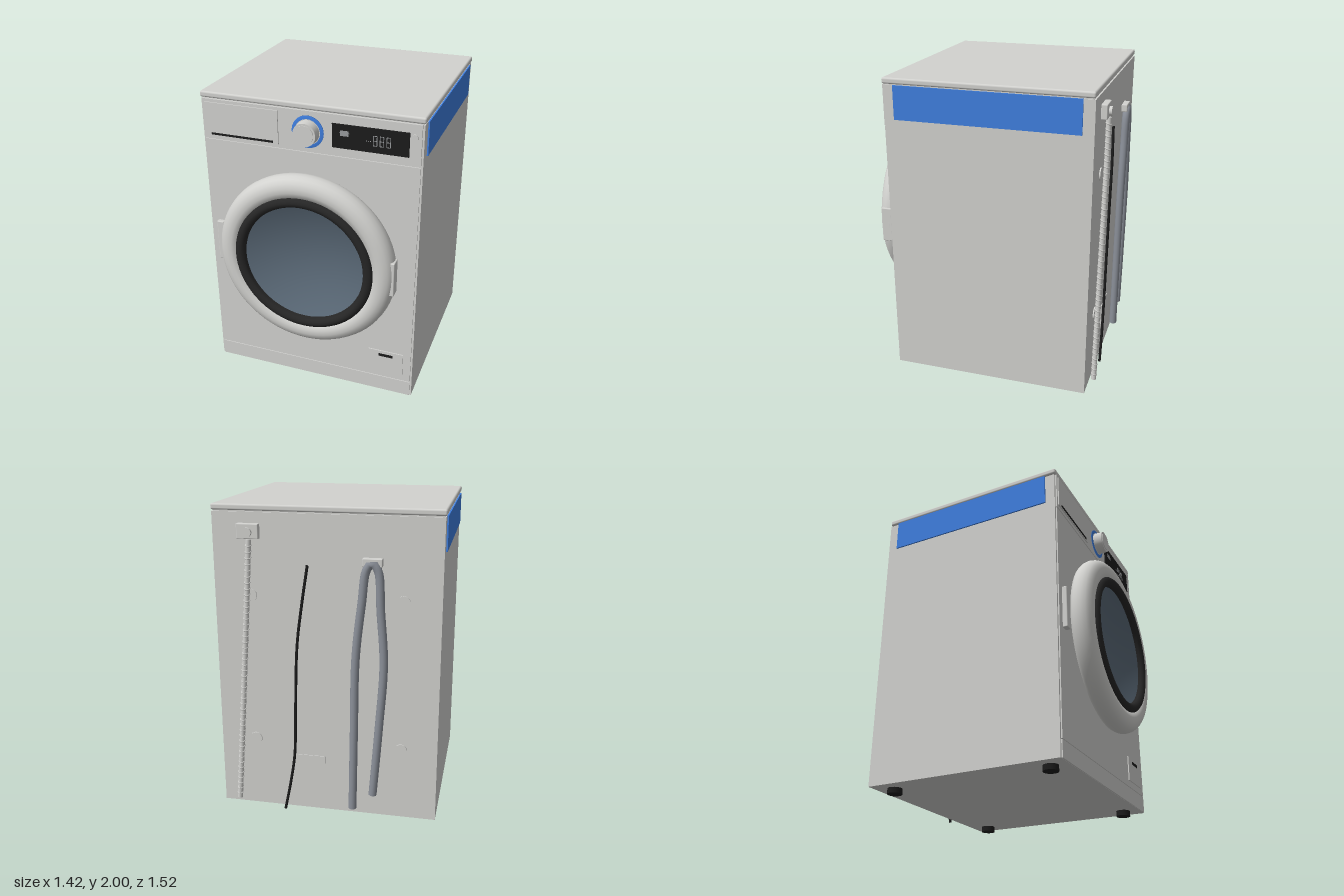
import * as THREE from 'three';
import { RoundedBoxGeometry } from 'three/addons/geometries/RoundedBoxGeometry.js';

const mat = (name, color, side = THREE.FrontSide) => {
  const m = new THREE.MeshStandardMaterial({ color, side });
  m.name = name;
  return m;
};

export function createModel() {
  const M = {
    body: mat('enamel', 0xd2d2cf),
    blue: mat('blue', 0x3f7fe0),
    black: mat('black', 0x1c1c1c),
    rubber: mat('rubber', 0x262626),
    glass: mat('glass', 0x5b6a78),
    hose: mat('hoseGrey', 0x8b9099),
    glyph: mat('displayGrey', 0x9a9c9e),
  };
  const root = new THREE.Group();
  root.name = 'washingMachine';

  const add = (name, geo, m, x = 0, y = 0, z = 0, parent = root) => {
    const mesh = new THREE.Mesh(geo, m);
    mesh.name = name;
    mesh.position.set(x, y, z);
    parent.add(mesh);
    return mesh;
  };
  // box given by its limits on each axis
  const box = (name, m, x0, x1, y0, y1, z0, z1, r = 0) => {
    const s = [x1 - x0, y1 - y0, z1 - z0];
    const g = r ? new RoundedBoxGeometry(...s, 3, r) : new THREE.BoxGeometry(...s);
    return add(name, g, m, (x0 + x1) / 2, (y0 + y1) / 2, (z0 + z1) / 2);
  };
  // disc or drum whose axis is z
  const drum = (name, m, r, x, y, z0, z1, r2 = r) =>
    add(name, new THREE.CylinderGeometry(r2, r, z1 - z0, 40).rotateX(Math.PI / 2), m, x, y, (z0 + z1) / 2);
  // profile of [radius, z] turned about the z axis
  const turned = (name, m, pts, x, y) =>
    add(name, new THREE.LatheGeometry(pts.map(p => new THREE.Vector2(...p)), 72).rotateX(Math.PI / 2), m, x, y, 0);
  const tube = (name, m, pts, r, n = 48) => {
    const path = new THREE.CatmullRomCurve3(pts.map(p => new THREE.Vector3(...p)), false, 'centripetal');
    add(name, new THREE.TubeGeometry(path, n, r, 12), m);
    // end caps
    for (const t of [0, 1]) {
      const cap = add(name + 'End', new THREE.CircleGeometry(r, 12), m);
      const p = path.getPoint(t), d = path.getTangent(t).multiplyScalar(t ? 1 : -1);
      cap.position.copy(p);
      cap.lookAt(p.clone().add(d));
    }
    return path;
  };

  // cabinet
  box('cabinet', M.body, -0.698, 0.698, 0.035, 1.955, -0.7, 0.59);
  box('lid', M.body, -0.705, 0.705, 1.962, 2, -0.7, 0.598, 0.012);
  box('lidGap', M.body, -0.69, 0.69, 1.954, 1.963, -0.69, 0.585);
  box('kickPanel', M.body, -0.686, 0.686, 0.036, 0.143, 0.58, 0.598);
  box('frontPanel', M.body, -0.686, 0.686, 0.148, 1.697, 0.58, 0.598);
  box('controlPanel', M.body, -0.686, 0.686, 1.703, 1.957, 0.58, 0.6);
  for (const s of [-1, 1]) {
    add('sideStripe', new THREE.BoxGeometry(0.009, 0.21, 1.155), M.blue, s * 0.7035, 1.852, -0.053);
    for (const z of [0.48, -0.58])
      add('foot', new THREE.CylinderGeometry(0.047, 0.047, 0.036, 24), M.black, s * 0.588, 0.018, z);
  }

  // detergent drawer
  box('drawer', M.body, -0.673, -0.19, 1.725, 1.938, 0.595, 0.608);
  box('drawerSlot', M.black, -0.635, -0.223, 1.732, 1.745, 0.605, 0.611);

  // programme dial
  turned('dialRing', M.blue, [[0.074, 0.6], [0.1, 0.6], [0.1, 0.606], [0.074, 0.606]], 0, 1.83);
  drum('dialBase', M.body, 0.079, 0, 1.83, 0.598, 0.608);
  drum('dial', M.body, 0.075, 0, 1.83, 0.608, 0.665, 0.072);
  drum('dialCap', M.body, 0.06, 0, 1.83, 0.665, 0.67);

  // display with simple segment marks
  box('display', M.black, 0.153, 0.617, 1.757, 1.905, 0.598, 0.608);
  box('displayIcon', M.glyph, 0.205, 0.255, 1.835, 1.868, 0.607, 0.6095);
  box('displayIconBar', M.glyph, 0.2, 0.26, 1.852, 1.857, 0.607, 0.6095);
  for (let i = 0; i < 3; i++) {
    const x = 0.405 + i * 0.04;
    for (const y of [1.8, 1.83, 1.86])
      box('displaySegment', M.glyph, x, x + 0.022, y - 0.002, y + 0.002, 0.607, 0.6095);
    for (const dx of [0, 0.022])
      box('displaySegment', M.glyph, x + dx - 0.002, x + dx + 0.002, 1.8, 1.86, 0.607, 0.6095);
  }
  for (let i = 0; i < 3; i++)
    box('displayDot', M.glyph, 0.362 + i * 0.012, 0.368 + i * 0.012, 1.822, 1.827, 0.607, 0.6095);
  drum('powerButton', M.body, 0.02, 0.645, 1.878, 0.598, 0.608);

  // door
  const cy = 0.995;
  drum('doorGasket', M.rubber, 0.355, 0, cy, 0.595, 0.625);
  turned('doorRing', M.body, [
    [0.34, 0.612], [0.545, 0.612], [0.57, 0.62], [0.582, 0.64], [0.587, 0.665], [0.583, 0.692],
    [0.57, 0.717], [0.549, 0.735], [0.52, 0.745], [0.49, 0.745], [0.455, 0.735], [0.44, 0.7],
  ], 0, cy);
  turned('doorSeal', M.rubber, [
    [0.458, 0.725], [0.457, 0.742], [0.446, 0.754], [0.43, 0.76], [0.415, 0.757],
    [0.402, 0.748], [0.395, 0.735], [0.393, 0.7],
  ], 0, cy);
  const bowl = [];
  for (let i = 0; i <= 14; i++) {
    const r = 0.4 * (1 - i / 14);
    bowl.push([r, 0.635 + 0.085 * (r / 0.4) ** 2]);
  }
  turned('doorGlass', M.glass, bowl, 0, cy);
  box('doorHinge', M.body, -0.642, -0.592, 0.855, 1.135, 0.596, 0.63, 0.006);
  box('doorHandle', M.body, 0.55, 0.586, 0.875, 1.107, 0.645, 0.716, 0.006);

  // filter flap
  box('filterFlap', M.body, 0.398, 0.635, 0.192, 0.358, 0.596, 0.605);
  box('filterSlot', M.black, 0.47, 0.565, 0.318, 0.337, 0.6, 0.608);

  // rear plates and transport bolt caps
  box('rearPlate', M.body, 0.01, 0.21, 0.25, 0.41, -0.705, -0.698);
  for (const x of [-0.47, 0.47])
    for (const y of [0.5, 1.45]) drum('boltCap', M.body, 0.04, x, y, -0.708, -0.698);

  // inlet valve and ribbed hose
  box('inletValve', M.body, 0.4, 0.535, 1.8, 1.89, -0.738, -0.698, 0.005);
  drum('inletNozzle', M.body, 0.028, 0.466, 1.84, -0.756, -0.735);
  const inlet = tube('inletHose', M.body,
    [[0.46, 1.8, -0.735], [0.475, 1.55, -0.738], [0.53, 0.8, -0.738], [0.585, 0.08, -0.738]], 0.017);
  const rib = new THREE.TorusGeometry(0.016, 0.005, 6, 12);
  for (let i = 1; i < 46; i++) {
    const p = inlet.getPointAt(i / 46);
    const ring = add('inletRib', rib, M.body, p.x, p.y, p.z);
    ring.lookAt(p.clone().add(inlet.getTangentAt(i / 46)).add(new THREE.Vector3(0, 0, 0.4)));
  }

  // power cord
  tube('powerCord', M.black, [[0.11, 1.65, -0.706], [0.145, 1.42, -0.715], [0.18, 1.15, -0.718],
    [0.198, 0.75, -0.718], [0.21, 0.42, -0.718], [0.24, 0.22, -0.72], [0.28, 0.02, -0.72]], 0.009);

  // drain hose looped over its bracket
  box('drainBracket', M.body, -0.345, -0.225, 1.66, 1.71, -0.738, -0.698, 0.005);
  tube('drainHose', M.hose, [[-0.17, 0.08, -0.73], [-0.178, 0.6, -0.73], [-0.188, 1.1, -0.73],
    [-0.225, 1.45, -0.73], [-0.25, 1.64, -0.73], [-0.285, 1.685, -0.732], [-0.32, 1.64, -0.73],
    [-0.338, 1.4, -0.73], [-0.36, 1.07, -0.73], [-0.335, 0.65, -0.73], [-0.3, 0.19, -0.73]], 0.026, 90);

  return root;
}
